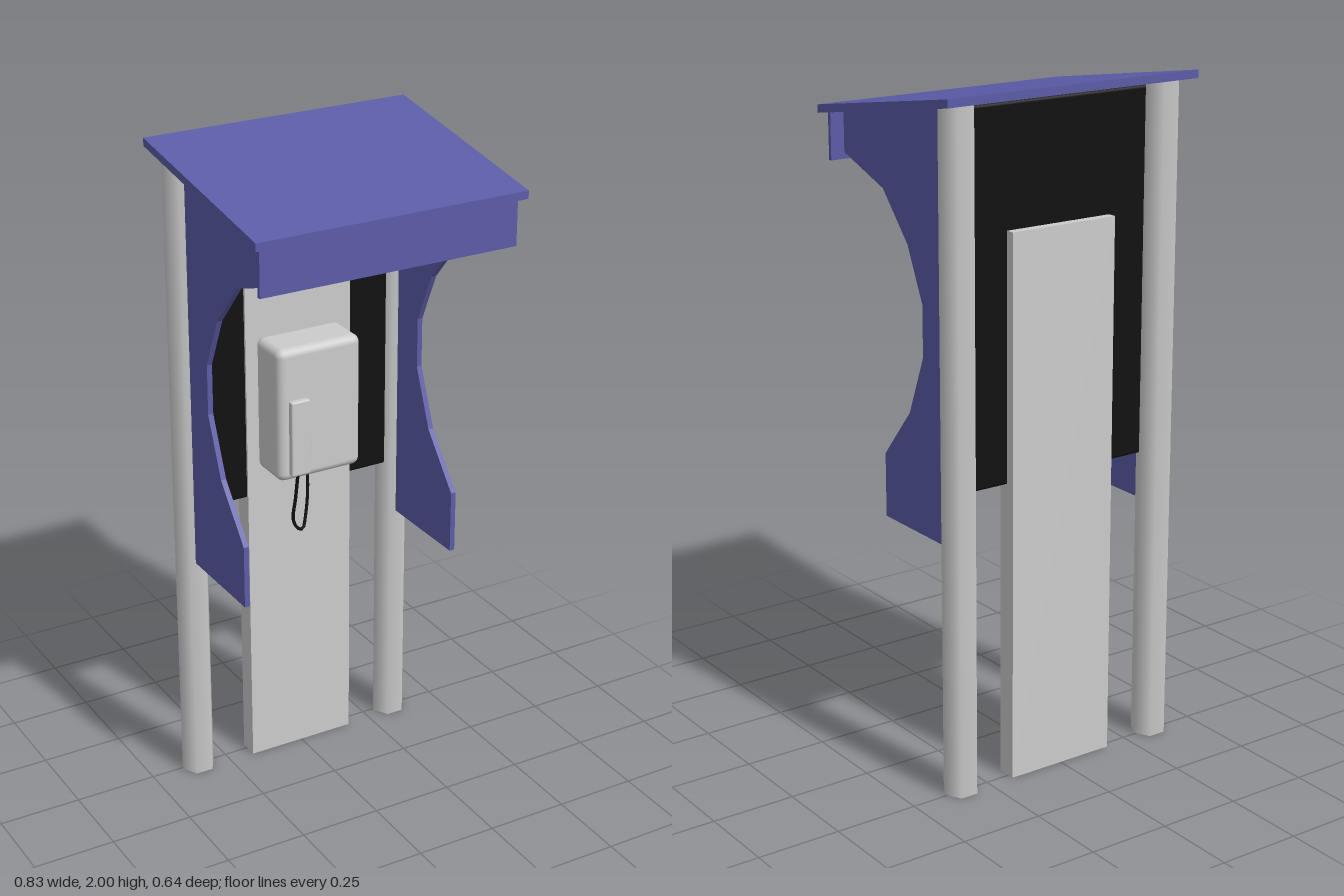
import * as THREE from 'three';
import { RoundedBoxGeometry } from 'three/addons/geometries/RoundedBoxGeometry.js';

const grey = new THREE.MeshStandardMaterial({ color: 0xcccccc });
const blue = new THREE.MeshStandardMaterial({ color: 0x5c5ca9 });
const black = new THREE.MeshStandardMaterial({ color: 0x111111 });

const CX = -0.005; // the frame sits a hair off the roof's centre
const POST_Z = -0.244;
const roofUnder = (z) => 1.925 - 0.16 * z; // sloping underside of the roof

// Extrudes a [z, y] outline along x, centred on x = 0
function sideProfile(points, width) {
  const shape = new THREE.Shape(points.map(([z, y]) => new THREE.Vector2(z, y)));
  const geo = new THREE.ExtrudeGeometry(shape, { depth: width, bevelEnabled: false });
  geo.translate(0, 0, -width / 2);
  return geo.rotateY(-Math.PI / 2);
}

// Box from its lower and upper corners; a radius rounds its edges
function block(min, max, radius = 0) {
  const size = max.map((v, i) => v - min[i]);
  const geo = radius
    ? new RoundedBoxGeometry(...size, 3, radius)
    : new THREE.BoxGeometry(...size);
  return geo.translate(...max.map((v, i) => (v + min[i]) / 2));
}

// Hexagonal post whose top is cut to the slope of the roof
function postGeometry() {
  const geo = new THREE.CylinderGeometry(0.053, 0.053, 1, 6);
  geo.rotateY(Math.PI / 6).translate(0, 0.5, POST_Z);
  const pos = geo.attributes.position;
  for (let i = 0; i < pos.count; i++) {
    if (pos.getY(i) > 0.5) pos.setY(i, roofUnder(pos.getZ(i)));
  }
  return geo;
}

export function createModel() {
  const model = new THREE.Group();
  const add = (name, geo, mat, x = 0) => {
    const mesh = new THREE.Mesh(geo, mat);
    mesh.name = name;
    mesh.position.x = x;
    model.add(mesh);
    return mesh;
  };

  // Sloping roof and the fascia board under its front edge
  add('roof', sideProfile([
    [0.322, roofUnder(0.322)], [0.322, 1.897], [-0.322, 2], [-0.322, roofUnder(-0.322)],
  ], 0.832), blue);
  add('fascia', sideProfile([
    [0.298, 1.74], [0.31, 1.74], [0.31, roofUnder(0.31)], [0.298, roofUnder(0.298)],
  ], 0.79), blue, CX);

  // Posts and scalloped side panels
  const post = postGeometry();
  const panel = sideProfile([
    [-0.21, 0.73], [0.11, 0.73], [0.11, 0.92], [-0.02, 1.075], [-0.09, 1.25],
    [-0.09, 1.4], [-0.02, 1.555], [0.1, 1.69], [0.3, 1.76],
    [0.3, roofUnder(0.3)], [-0.21, roofUnder(-0.21)],
  ], 0.016);
  for (const [side, s] of [['left', 1], ['right', -1]]) {
    add(side + 'Post', post, grey, CX + s * 0.343);
    add(side + 'SidePanel', panel, blue, CX + s * 0.344);
  }

  // Back panel and the pedestal that passes through it
  add('backPanel', block([-0.31, 0.89, -0.243], [0.31, roofUnder(-0.22), -0.217], 0.01), black, CX);
  add('pedestal', block([-0.173, 0, -0.27], [0.173, 1.612, -0.21]), grey);

  // Telephone housing with its handset and hanging cord
  add('phoneBody', block([-0.138, 0.985, -0.22], [0.134, 1.396, -0.077], 0.024), grey);
  add('handset', block([-0.106, 1.005, -0.09], [-0.044, 1.24, -0.06], 0.006), grey);
  const cordPath = new THREE.CatmullRomCurve3([
    [-0.073, 1.01, -0.085], [-0.08, 0.92, -0.09], [-0.083, 0.85, -0.1], [-0.063, 0.81, -0.11],
    [-0.043, 0.8, -0.115], [-0.03, 0.84, -0.12], [-0.02, 0.91, -0.125], [-0.017, 0.99, -0.13],
  ].map((p) => new THREE.Vector3(...p)));
  add('cord', new THREE.TubeGeometry(cordPath, 32, 0.005, 6), black);

  return model;
}
